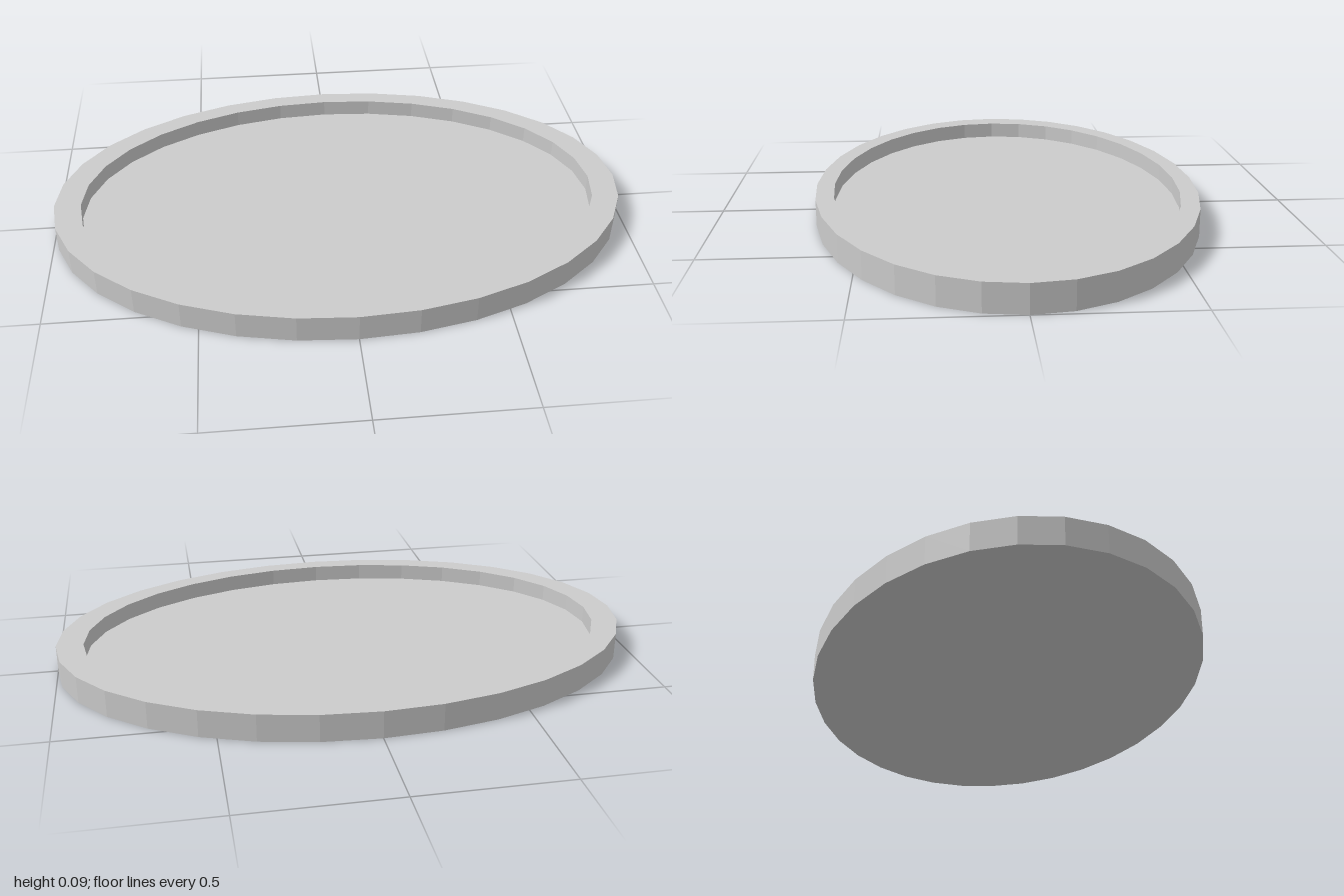
import * as THREE from 'three';

const SIDES = 32;
const HEIGHT = 0.093;
const FLOOR = 0.035;
const INNER = 0.907;
const DEPTH_RATIO = 0.666; // ellipse depth relative to width

export function createModel() {
  const group = new THREE.Group();
  group.name = 'ovalTray';

  // Cross-section from the underside centre, over the rim, to the floor centre
  const profile = [
    [0, 0], [1, 0], [1, HEIGHT], [INNER, HEIGHT], [INNER, FLOOR], [0, FLOOR],
  ].map(([x, y]) => new THREE.Vector2(x, y));

  // Faceted turned body, squashed to an oval
  const geometry = new THREE.LatheGeometry(profile, SIDES);
  geometry.scale(1, 1, DEPTH_RATIO);

  const tray = new THREE.Mesh(
    geometry,
    new THREE.MeshStandardMaterial({ color: 0xcccccc, flatShading: true })
  );
  tray.name = 'trayBody';
  group.add(tray);
  return group;
}
